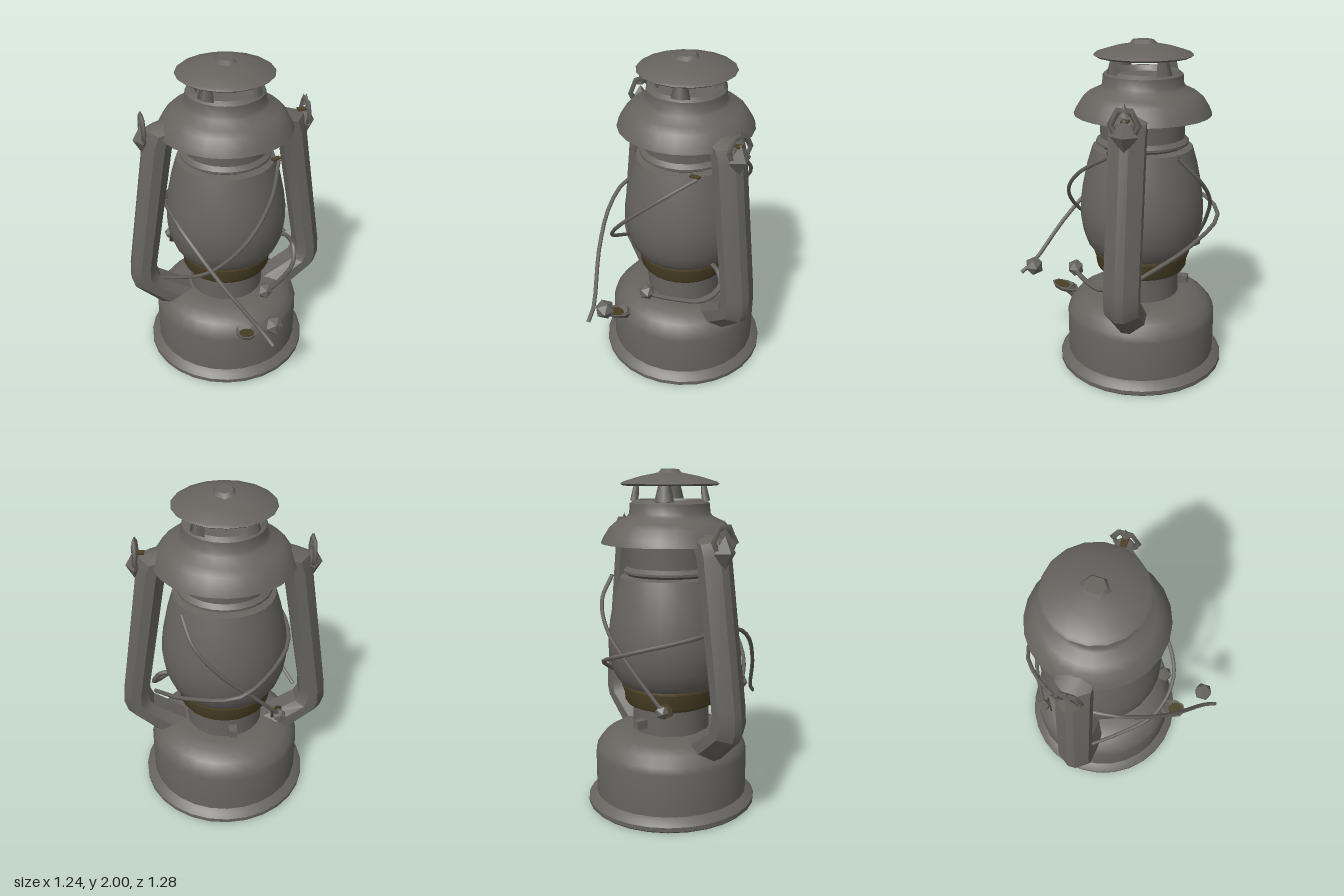
import * as THREE from 'three';
import { toCreasedNormals } from 'three/addons/utils/BufferGeometryUtils.js';

const metal = new THREE.MeshStandardMaterial({ color: 0x66635f, side: THREE.DoubleSide });
metal.name = 'dark metal';
const brass = new THREE.MeshStandardMaterial({ color: 0x4b4126, side: THREE.DoubleSide });
brass.name = 'dull brass';

const AXIS_Z = -0.13; // the lantern body stands behind the centre, the cord hangs in front

function addMesh(parent, name, geometry, material = metal, position = [0, 0, 0]) {
  const mesh = new THREE.Mesh(geometry, material);
  mesh.name = name;
  mesh.position.set(...position);
  parent.add(mesh);
  return mesh;
}

function lathe(points, segments = 24) {
  const profile = points.map(([r, y]) => new THREE.Vector2(r, y));
  return toCreasedNormals(new THREE.LatheGeometry(profile, segments), 0.6);
}

function wire(points, radius = 0.012) {
  const curve = new THREE.CatmullRomCurve3(points.map((p) => new THREE.Vector3(...p)));
  return new THREE.TubeGeometry(curve, 28, radius, 5, false);
}

// Sweeps a bevelled section between matching outer and inner edge points [ox, oy, ix, iy]
function armGeometry() {
  const stations = [
    [0.38, 0.34, 0.22, 0.46], [0.44, 0.38, 0.28, 0.495], [0.60, 0.53, 0.44, 0.595],
    [0.62, 0.60, 0.462, 0.64], [0.615, 0.70, 0.46, 0.71], [0.485, 1.55, 0.325, 1.53],
    [0.465, 1.62, 0.29, 1.58], [0.28, 1.675, 0.25, 1.59],
  ];
  const section = [
    [0, 0.025], [0.33, 0.1], [0.7, 0.1], [1, 0.055],
    [1, -0.055], [0.7, -0.1], [0.33, -0.1], [0, -0.025],
  ];
  const n = section.length;
  const positions = [];
  const index = [];
  stations.forEach(([ox, oy, ix, iy], s) => {
    section.forEach(([u, z], k) => {
      positions.push(ox + (ix - ox) * u, oy + (iy - oy) * u, z);
      if (s < stations.length - 1) {
        const a = s * n + k;
        const b = s * n + (k + 1) % n;
        index.push(a, b, a + n, b, b + n, a + n);
      }
    });
  });
  const geometry = new THREE.BufferGeometry();
  geometry.setAttribute('position', new THREE.Float32BufferAttribute(positions, 3));
  geometry.setIndex(index);
  return toCreasedNormals(geometry, 0.4);
}

function addBody(body) {
  addMesh(body, 'fuelTank', lathe([
    [0, 0.055], [0.31, 0.055], [0.36, 0.04], [0.47, 0.01], [0.50, 0.005], [0.51, 0.015], [0.51, 0.04], [0.485, 0.065],
    [0.46, 0.08], [0.46, 0.33], [0.45, 0.37], [0.41, 0.42], [0.35, 0.455], [0.28, 0.47], [0.22, 0.475],
  ], 28));
  addMesh(body, 'burnerNeck', lathe([[0.23, 0.46], [0.23, 0.62], [0.26, 0.635]]));
  addMesh(body, 'burnerCollar', lathe([
    [0.22, 0.625], [0.265, 0.635], [0.275, 0.65], [0.28, 0.70], [0.295, 0.74], [0.29, 0.76],
  ]), brass);
  addMesh(body, 'globe', lathe([
    [0.27, 0.745], [0.30, 0.76], [0.33, 0.80], [0.355, 0.87], [0.37, 0.97], [0.368, 1.05], [0.355, 1.15],
    [0.325, 1.29], [0.295, 1.39], [0.25, 1.40],
  ]));
  addMesh(body, 'chimney', lathe([
    [0.25, 1.40], [0.272, 1.415], [0.272, 1.428], [0.247, 1.45], [0.25, 1.60],
  ]));
  addMesh(body, 'hood', lathe([
    [0.24, 1.60], [0.385, 1.59], [0.40, 1.585], [0.385, 1.62], [0.35, 1.675], [0.315, 1.705], [0.25, 1.735],
    [0.235, 1.755], [0.23, 1.81], [0.205, 1.83], [0.18, 1.83], [0.16, 1.80], [0, 1.80],
  ]));

  // Four flat tapering posts carry the rain cap
  for (let i = 0; i < 4; i++) {
    const pivot = new THREE.Group();
    pivot.name = 'capPost';
    pivot.rotation.y = Math.PI / 4 + i * Math.PI / 2;
    body.add(pivot);
    const post = addMesh(pivot, 'post', new THREE.CylinderGeometry(0.03, 0.05, 0.1, 4), metal, [0.2, 1.87, 0]);
    post.rotation.z = 0.15;
    post.scale.set(0.5, 1, 1.1);
  }
  addMesh(body, 'rainCap', lathe([
    [0, 1.91], [0.27, 1.908], [0.285, 1.918], [0.27, 1.93], [0.17, 1.96], [0.07, 1.98], [0, 1.982],
  ], 18));
  const button = addMesh(body, 'capButton', new THREE.CylinderGeometry(0.05, 0.07, 0.025, 6), metal, [0, 1.988, 0]);
  button.scale.z = 1.2;

  // Side tubes with a bail lug on each
  for (const turn of [0, Math.PI]) {
    const side = new THREE.Group();
    side.name = turn ? 'rightSide' : 'leftSide';
    side.rotation.y = turn;
    body.add(side);
    addMesh(side, 'sideTube', armGeometry());
    const lug = addMesh(side, 'bailLug', new THREE.TorusGeometry(0.07, 0.018, 4, 6), metal, [0.485, 1.62, 0]);
    lug.rotation.y = Math.PI / 2;
    lug.scale.set(1.05, 1.2, 0.8);
    const rivet = addMesh(side, 'lugRivet', new THREE.OctahedronGeometry(0.07), metal, [0.49, 1.56, 0]);
    rivet.scale.set(0.75, 1.35, 1.1);
    const tip = addMesh(side, 'lugTip', new THREE.ConeGeometry(0.035, 0.07, 4), metal, [0.485, 1.7, 0]);
    tip.scale.x = 0.6;
  }
  // Brass seat where the bail would hook in
  addMesh(body, 'lugSeat', new THREE.BoxGeometry(0.06, 0.009, 0.04), brass, [0.465, 1.637, 0]);
}

function addFillerCap(group) {
  const cap = new THREE.Group();
  cap.name = 'fillerCap';
  cap.position.set(0, 0.418, 0.37);
  cap.rotation.x = -0.24;
  group.add(cap);
  const lid = addMesh(cap, 'lid', new THREE.CylinderGeometry(0.064, 0.05, 0.024, 8));
  lid.scale.z = 1.4;
  const inset = addMesh(cap, 'lidInset', new THREE.CylinderGeometry(0.046, 0.046, 0.006, 8), brass, [0, 0.012, 0.022]);
  inset.scale.z = 1.15;
  const spout = addMesh(group, 'spout', new THREE.CylinderGeometry(0.045, 0.02, 0.09, 6), metal, [0, 0.385, 0.32]);
  spout.rotation.x = 0.6;
}

function addWires(group) {
  addMesh(group, 'frontGuardWire', wire([
    [0.29, 1.39, 0.0], [0.18, 1.25, 0.21], [0, 1.06, 0.33], [-0.2, 0.86, 0.28], [-0.36, 0.7, 0.08], [-0.44, 0.62, -0.05],
  ]));
  addMesh(group, 'backGuardWire', wire([
    [0.24, 1.39, -0.38], [0.18, 1.26, -0.49], [0.05, 1.11, -0.54], [-0.15, 0.9, -0.5], [-0.31, 0.7, -0.42],
  ]));
  // One long cord runs round the back and hangs out in front
  addMesh(group, 'hangingCord', wire([
    [0.42, 0.72, -0.2], [0.22, 0.87, -0.46], [-0.08, 0.98, -0.58], [-0.35, 1.08, -0.28], [-0.355, 1.11, 0.06],
    [-0.28, 1.02, 0.24], [-0.15, 0.84, 0.4], [0.05, 0.58, 0.57], [0.09, 0.53, 0.63],
  ], 0.013));
  addMesh(group, 'wickRod', wire([
    [0.16, 0.62, 0.25], [0.28, 0.62, 0.16], [0.41, 0.63, 0.02], [0.435, 0.7, -0.08], [0.39, 0.77, -0.1], [0.3, 0.79, -0.11],
  ], 0.015));

  // Faceted end knobs
  const knobs = [
    ['cordKnob', [0.12, 0.6, 0.53], 0.06],
    ['wickKnob', [0.15, 0.63, 0.25], 0.052],
    ['guardKnob', [-0.31, 0.69, -0.42], 0.042],
  ];
  for (const [name, position, size] of knobs) {
    addMesh(group, name, toCreasedNormals(new THREE.IcosahedronGeometry(size, 0), 0.1), metal, position);
  }
  // Thin brass clips where the guard wires end
  const washer = addMesh(group, 'guardWasher', new THREE.CylinderGeometry(0.045, 0.045, 0.009, 6), brass, [-0.295, 0.685, -0.385]);
  washer.rotation.set(Math.PI / 2, 0, -0.6);
  const clip = addMesh(group, 'guardClip', new THREE.BoxGeometry(0.06, 0.009, 0.03), brass, [0.272, 1.4, 0.0]);
  clip.rotation.y = 0.4;
  addMesh(group, 'neckStop', new THREE.BoxGeometry(0.05, 0.05, 0.07), metal, [-0.04, 0.54, -0.38]);
}

export function createModel() {
  const group = new THREE.Group();
  group.name = 'lantern';
  const body = new THREE.Group();
  body.name = 'lanternBody';
  body.position.z = AXIS_Z;
  group.add(body);
  addBody(body);
  addFillerCap(group);
  addWires(group);
  return group;
}
